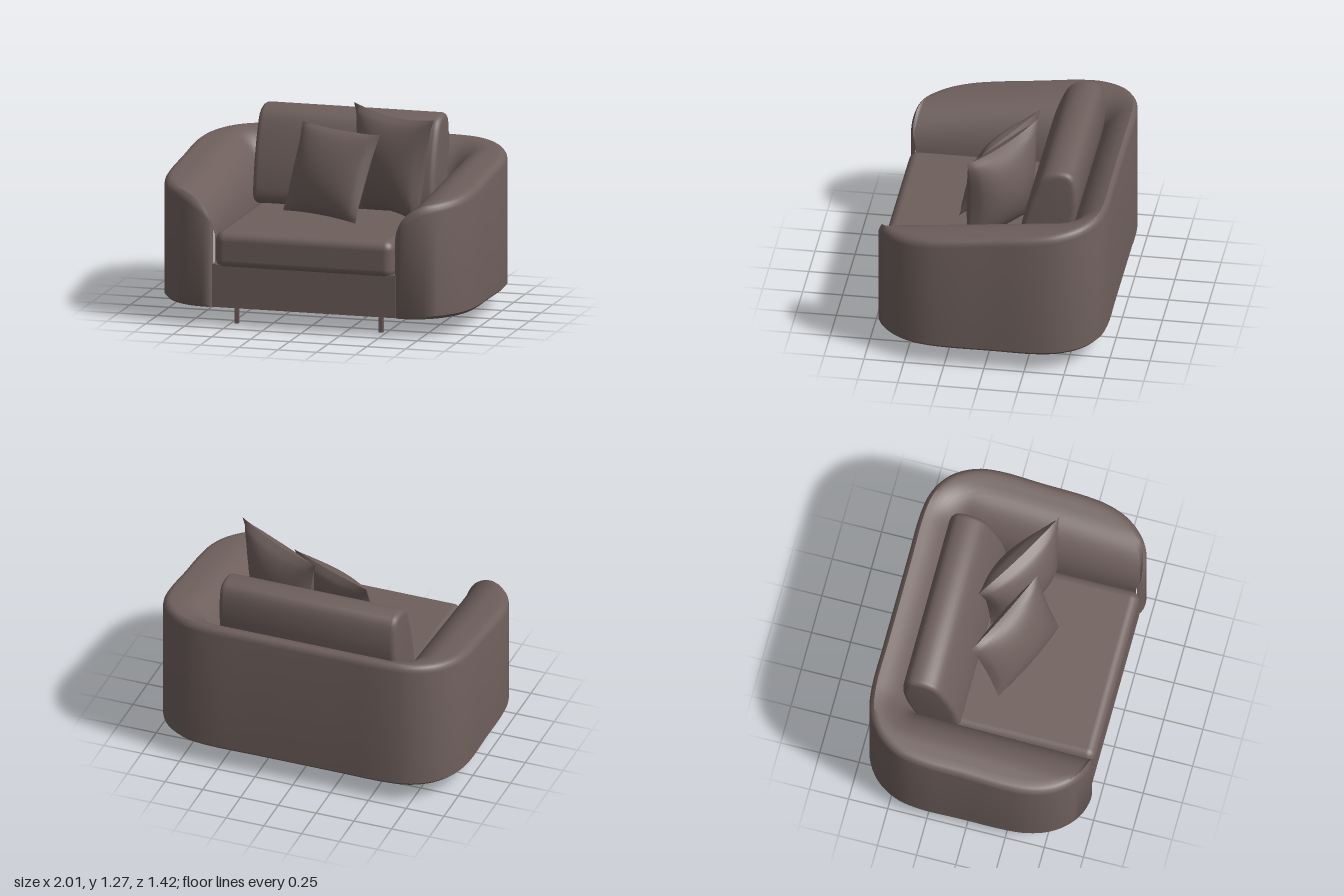
import * as THREE from 'three';
import { toCreasedNormals } from 'three/addons/utils/BufferGeometryUtils.js';
import { RoundedBoxGeometry } from 'three/addons/geometries/RoundedBoxGeometry.js';

const V = (x, y, z) => new THREE.Vector3(x, y, z);

// Closed-ring loft between cross-sections
function loft(rings) {
  const n = rings[0].length, pos = [], idx = [];
  rings.forEach(r => r.forEach(p => pos.push(p.x, p.y, p.z)));
  for (let i = 0; i < rings.length - 1; i++) {
    for (let j = 0; j < n; j++) {
      const k = (j + 1) % n, a = i * n + j, b = i * n + k;
      idx.push(a, b, a + n, b, b + n, a + n);
    }
  }
  const g = new THREE.BufferGeometry();
  g.setAttribute('position', new THREE.Float32BufferAttribute(pos, 3));
  g.setIndex(idx);
  return toCreasedNormals(g, 0.7);
}

// Plan curve from one half, mirrored across x = 0
function mirroredCurve(half) {
  const right = half.map(([x, z]) => V(x, 0, z));
  const left = half.slice(0, -1).reverse().map(([x, z]) => V(-x, 0, z));
  return new THREE.CatmullRomCurve3([...right, ...left]);
}

// Wraparound arms and back: height rolls up from the inner edge and rises to the rear
function shellGeometry() {
  const outer = mirroredCurve([[0.585, 0.675], [0.61, 0.702], [0.67, 0.71], [0.77, 0.685], [0.86, 0.625],
    [0.94, 0.52], [0.985, 0.39], [1, 0.25], [1, -0.03], [1, -0.31], [0.97, -0.46],
    [0.885, -0.595], [0.755, -0.68], [0.6, -0.71], [0.3, -0.712], [0, -0.712]]);
  const inner = mirroredCurve([[0.58, 0.67], [0.58, 0.665], [0.58, 0.64], [0.58, 0.58], [0.58, 0.52],
    [0.58, 0.43], [0.58, 0.34], [0.58, 0.22], [0.58, -0.03], [0.58, -0.25], [0.58, -0.33],
    [0.575, -0.39], [0.55, -0.42], [0.48, -0.425], [0.25, -0.425], [0, -0.425]]);
  const low = 0.55;
  const height = (x, z) => {
    const d = Math.hypot(Math.max(Math.abs(x) - 0.58, 0), Math.max(-0.425 - z, 0));
    const k = 1 - Math.min(d / 0.28, 1);
    return low + (0.92 - 0.115 * z - low) * Math.sqrt(1 - k * k);
  };
  const rings = [], steps = 120;
  for (let i = 0; i <= steps; i++) {
    const I = inner.getPoint(i / steps), O = outer.getPoint(i / steps);
    const len = I.distanceTo(O), round = Math.min(0.05, len * 0.4);
    const at = (d, y) => { const p = I.clone().lerp(O, d / len); p.y = y; return p; };
    const ring = [at(0, 0.12), at(0, low)];
    for (let s = 1; s <= 14; s++) {
      const p = at((len - round) * (s / 14) ** 1.4, 0);
      p.y = height(p.x, p.z);
      ring.push(p);
    }
    const edge = height(O.x, O.z);
    for (let a = 1; a <= 4; a++) {
      const t = a / 4 * Math.PI / 2;
      ring.push(at(len - round + round * Math.sin(t), edge - round * (1 - Math.cos(t))));
    }
    ring.push(at(len, 0.14), at(len - round * 0.4, 0.12));
    rings.push(ring);
  }
  return loft(rings);
}

// Scatter pillow stretched between four corners, pinched along its edges
function pillow(name, material, [tl, tr, bl, br], thick, pinch) {
  const group = new THREE.Group();
  group.name = name;
  const normal = tr.clone().sub(tl).cross(tl.clone().sub(bl)).normalize();
  for (const side of [1, -1]) {
    const g = new THREE.PlaneGeometry(2, 2, 24, 24), p = g.attributes.position;
    for (let i = 0; i < p.count; i++) {
      const u = p.getX(i) * side, v = p.getY(i);
      const a = u * (1 - pinch * (1 - v * v)), b = v * (1 - pinch * (1 - u * u));
      const top = tl.clone().lerp(tr, (a + 1) / 2), bottom = bl.clone().lerp(br, (a + 1) / 2);
      const q = bottom.lerp(top, (b + 1) / 2);
      const bulge = thick * Math.pow((1 - u * u) * (1 - v * v), 0.6);
      q.addScaledVector(normal, side * bulge);
      p.setXYZ(i, q.x, q.y, q.z);
    }
    g.computeVertexNormals();
    const m = new THREE.Mesh(g, material);
    m.name = side > 0 ? 'pillowFront' : 'pillowBack';
    group.add(m);
  }
  return group;
}

// Leaning back cushion, its side profile extruded across the seat
function backCushionGeometry() {
  const profile = [[-0.16, 0.62], [-0.16, 0.76], [-0.235, 1.03], [-0.305, 1.155], [-0.4, 1.19],
    [-0.485, 1.165], [-0.518, 1.0], [-0.48, 0.76], [-0.42, 0.61], [-0.28, 0.58]];
  const curve = new THREE.CatmullRomCurve3(profile.map(([z, y]) => V(z, y, 0)), true);
  const shape = new THREE.Shape(curve.getPoints(48).slice(0, -1).map(p => new THREE.Vector2(p.x, p.y)));
  const g = new THREE.ExtrudeGeometry(shape, {
    depth: 1.1, bevelEnabled: true, bevelThickness: 0.035, bevelSize: 0.035, bevelOffset: -0.035, bevelSegments: 4,
  });
  g.translate(0, 0, -0.55);
  g.rotateY(-Math.PI / 2);
  return toCreasedNormals(g, 0.8);
}

export function createModel() {
  const model = new THREE.Group();
  model.name = 'armchair';
  const fabric = new THREE.MeshStandardMaterial({ color: 0x6e5f5c });
  fabric.name = 'taupe';
  const add = (name, geometry, x = 0, y = 0, z = 0) => {
    const m = new THREE.Mesh(geometry, fabric);
    m.name = name;
    m.position.set(x, y, z);
    model.add(m);
    return m;
  };

  add('armsAndBack', shellGeometry());
  add('seatBase', new THREE.BoxGeometry(1.18, 0.27, 1.14), 0, 0.255, 0.12);

  // Seat cushion with a slightly crowned top
  const seat = new RoundedBoxGeometry(1.15, 0.24, 1.16, 5, 0.06);
  add('seatCushion', seat, 0, 0.48, 0.125);

  add('backCushion', backCushionGeometry());

  model.add(pillow('smallPillow', fabric,
    [V(-0.26, 1.14, -0.16), V(0.32, 1.14, 0.11), V(-0.33, 0.61, 0.03), V(0.21, 0.61, 0.28)], 0.11, 0.05));
  model.add(pillow('largePillow', fabric,
    [V(0.06, 1.27, -0.2), V(0.68, 1.265, 0.155), V(0.12, 0.61, -0.14), V(0.58, 0.61, 0.17)], 0.15, 0.11));

  // Four slim legs
  for (const x of [-0.465, 0.465]) {
    for (const z of [0.57, -0.38]) {
      add('leg', new THREE.BoxGeometry(0.026, 0.13, 0.028), x, 0.065, z);
    }
  }
  return model;
}
